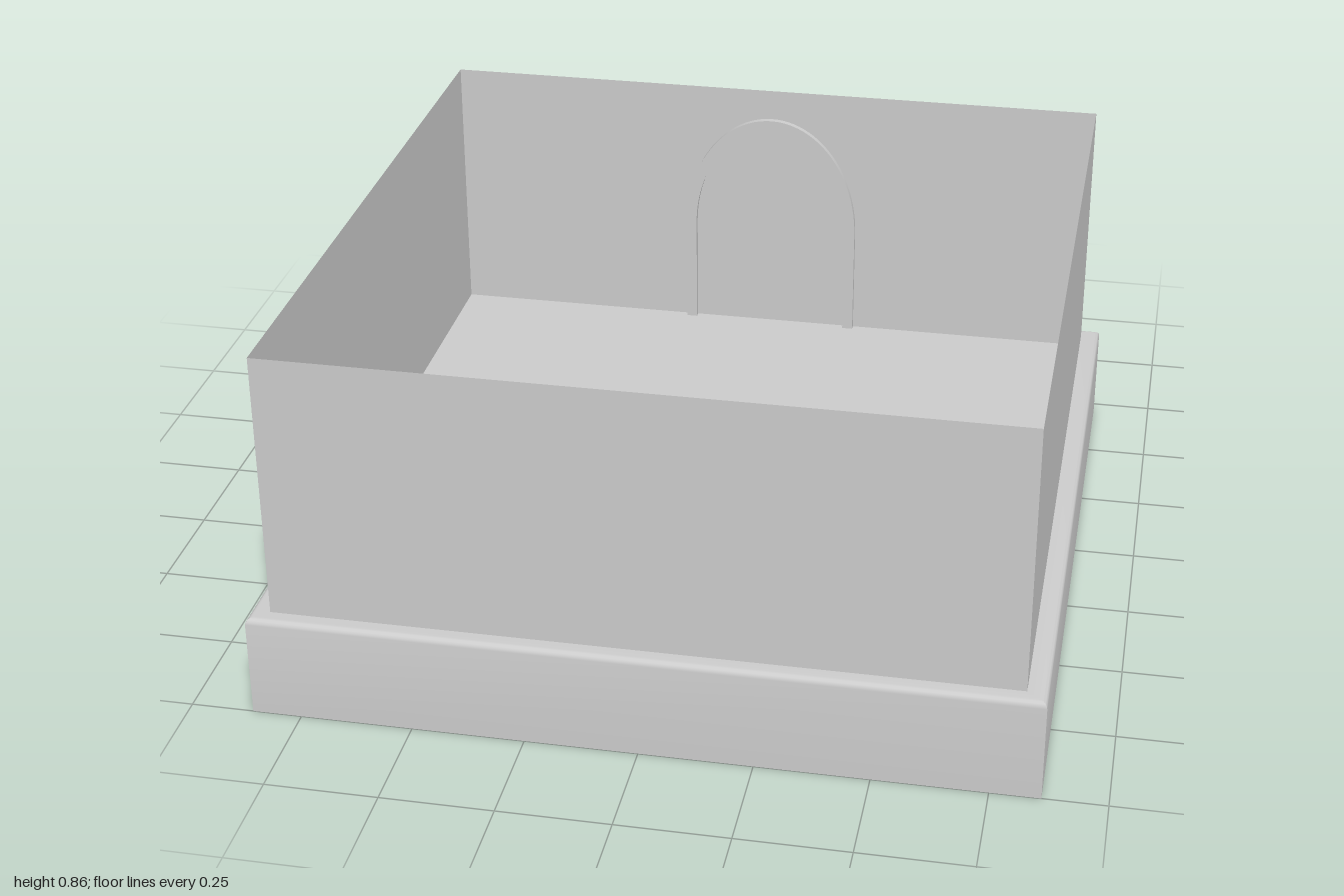
import * as THREE from 'three';
import { toCreasedNormals } from 'three/addons/utils/BufferGeometryUtils.js';

const material = new THREE.MeshStandardMaterial({ color: 0xcccccc, side: THREE.DoubleSide });
const X = 0.86, BACK = -0.71, FRONT = 1; // plinth outline
const INSET_X = 0.045, INSET_Z = 0.038; // wall set-back
const FLOOR = 0.21, LEDGE = 0.238, TOP = 0.856, STEP_X = 0.213;

function part(name, geometry) {
  const mesh = new THREE.Mesh(geometry, material);
  mesh.name = name;
  return mesh;
}

// Skin between rows of points, all rows having the same length
function loft(rows) {
  const positions = [];
  for (let r = 0; r < rows.length - 1; r++) {
    for (let i = 0; i < rows[r].length - 1; i++) {
      const a = rows[r][i], b = rows[r][i + 1], c = rows[r + 1][i + 1], d = rows[r + 1][i];
      positions.push(...a, ...d, ...b, ...b, ...d, ...c);
    }
  }
  const geometry = new THREE.BufferGeometry();
  geometry.setAttribute('position', new THREE.Float32BufferAttribute(positions, 3));
  return toCreasedNormals(geometry, 0.4);
}

// Rectangle around the building, open at the back by the given half width
function outline(insetX, insetZ, y, gap) {
  const x = X - insetX, back = BACK + insetZ, front = FRONT - insetZ;
  return [[gap, y, back], [x, y, back], [x, y, front], [-x, y, front], [-x, y, back], [-gap, y, back]];
}

export function createModel() {
  const model = new THREE.Group();

  // Hollow plinth with a rounded upper edge and a gap for the steps
  const rows = [outline(0, 0, 0, STEP_X)];
  const radius = 0.014;
  for (let i = 0; i <= 4; i++) {
    const a = (i / 4) * Math.PI / 2;
    const inset = radius * (1 - Math.cos(a));
    rows.push(outline(inset, inset, LEDGE - radius + radius * Math.sin(a), STEP_X));
  }
  rows.push(outline(INSET_X, INSET_Z, LEDGE, STEP_X));
  model.add(part('plinth', loft(rows)));

  // Thin walls, open at the top, standing on the sunken floor
  model.add(part('walls', loft([FLOOR, TOP].map(y => outline(INSET_X, INSET_Z, y, 0)))));

  // Floor, level with the top step
  const floorGeometry = new THREE.PlaneGeometry(2 * (X - INSET_X), FRONT - BACK - 2 * INSET_Z);
  floorGeometry.rotateX(-Math.PI / 2).translate(0, FLOOR, (FRONT + BACK) / 2);
  model.add(part('floor', floorGeometry));

  // Hollow steps: treads and risers, then the two sides
  const steps = new THREE.Group();
  steps.name = 'steps';
  const profile = [[-1, 0], [-1, 0.07], [-0.908, 0.07], [-0.908, 0.135],
    [-0.807, 0.135], [-0.807, FLOOR], [BACK, FLOOR]];
  const treadProfile = [...profile, [BACK + INSET_Z, FLOOR]];
  steps.add(part('treads', loft([-STEP_X, STEP_X].map(
    x => treadProfile.map(([z, y]) => [x, y, z])))));
  const sideShape = new THREE.Shape([...profile, [BACK, 0]].map(([z, y]) => new THREE.Vector2(-z, y)));
  for (const x of [-STEP_X, STEP_X]) {
    const side = part('stepSide', new THREE.ShapeGeometry(sideShape));
    side.rotation.y = Math.PI / 2;
    side.position.x = x;
    steps.add(side);
  }
  model.add(steps);

  // Tall arched door frame, showing on both faces of the wall
  const outer = 0.22, thickness = 0.026, spring = 0.48, rise = 0.3, foot = 0.2;
  const inner = outer - thickness;
  const arch = new THREE.Shape();
  arch.moveTo(outer, foot);
  arch.lineTo(outer, spring);
  arch.absellipse(0, spring, outer, rise, 0, Math.PI, false);
  arch.lineTo(-outer, foot);
  arch.lineTo(-inner, foot);
  arch.lineTo(-inner, spring);
  arch.absellipse(0, spring, inner, rise - thickness, Math.PI, 0, true);
  arch.lineTo(inner, foot);
  arch.closePath();
  const archGeometry = new THREE.ExtrudeGeometry(arch, { depth: 0.053, bevelEnabled: false, curveSegments: 24 });
  archGeometry.translate(0, 0, BACK);
  model.add(part('doorFrame', toCreasedNormals(archGeometry, 0.6)));

  return model;
}
